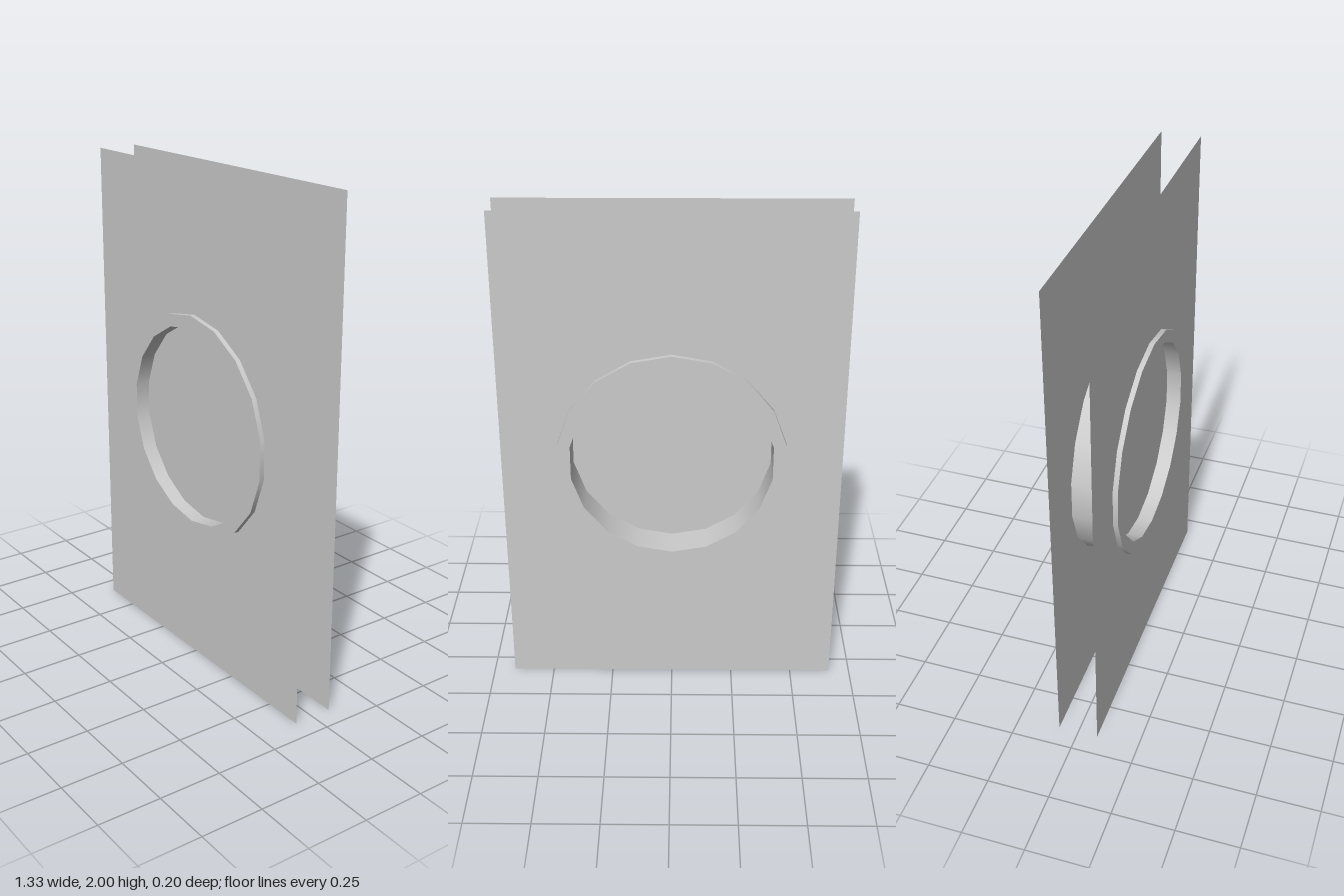
import * as THREE from 'three';
import { mergeGeometries } from 'three/addons/utils/BufferGeometryUtils.js';

const SIDES = 18, OUTER = 0.45, INNER = 0.4, HALF_DEPTH = 0.1;
const WIDTH = 1.33, HEIGHT = 2, PANEL_Z = 0.08, PANE_Z = 0.04;

// Corners of the round opening, with one corner pointing straight up
function polygon(radius) {
  return Array.from({ length: SIDES }, (_, i) => {
    const a = Math.PI / 2 + (i / SIDES) * Math.PI * 2;
    return new THREE.Vector2(Math.cos(a) * radius, Math.sin(a) * radius);
  });
}

// Thin wall sheet with a hole for the porthole
function panelGeometry() {
  const w = WIDTH / 2, h = HEIGHT / 2;
  const shape = new THREE.Shape([
    new THREE.Vector2(-w, -h), new THREE.Vector2(w, -h),
    new THREE.Vector2(w, h), new THREE.Vector2(-w, h),
  ]);
  shape.holes.push(new THREE.Path(polygon(OUTER)));
  return new THREE.ShapeGeometry(shape);
}

// Rectangular section turned about z: smooth around, sharp at the rims
function frameGeometry() {
  const section = [
    [OUTER, -HALF_DEPTH], [OUTER, HALF_DEPTH], [INNER, HALF_DEPTH], [INNER, -HALF_DEPTH],
  ].map(([r, y]) => new THREE.Vector2(r, y));
  const bands = section.map((p, i) =>
    new THREE.LatheGeometry([p, section[(i + 1) % section.length]], SIDES));
  return mergeGeometries(bands).rotateX(Math.PI / 2);
}

export function createModel() {
  const model = new THREE.Group();
  model.name = 'portholeWall';
  const solid = new THREE.MeshStandardMaterial({ color: 0xcccccc });
  const sheet = new THREE.MeshStandardMaterial({ color: 0xcccccc, side: THREE.DoubleSide });

  const add = (name, geometry, material, z) => {
    const mesh = new THREE.Mesh(geometry, material);
    mesh.name = name;
    mesh.position.set(0, HEIGHT / 2, z);
    model.add(mesh);
    return mesh;
  };

  // Front and back wall sheets
  add('frontPanel', panelGeometry(), sheet, PANEL_Z);
  add('backPanel', panelGeometry(), sheet, -PANEL_Z).rotation.y = Math.PI;

  // Round frame and the pane set inside it
  add('windowFrame', frameGeometry(), solid, 0);
  add('windowPane', new THREE.CircleGeometry(INNER, SIDES, Math.PI / 2), sheet, PANE_Z);

  return model;
}
